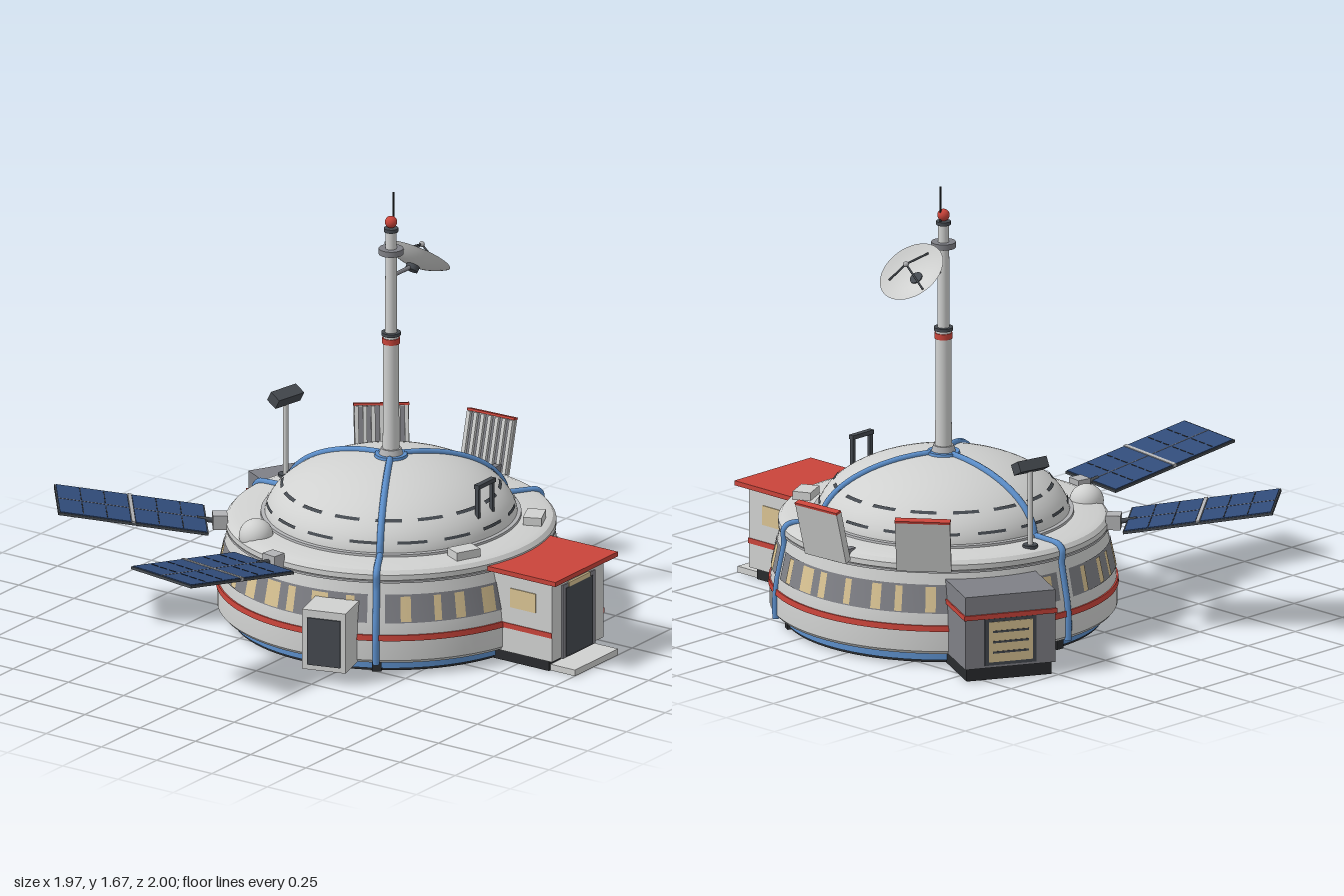
import * as THREE from 'three';
import { toCreasedNormals } from 'three/addons/utils/BufferGeometryUtils.js';

const V = (x, y, z) => new THREE.Vector3(x, y, z);
const rad = THREE.MathUtils.degToRad;

function paint(name, color, side = THREE.FrontSide) {
  const m = new THREE.MeshStandardMaterial({ color, side });
  m.name = name;
  return m;
}
const M = {
  hull: paint('hull light grey', 0xd0d1d0, THREE.DoubleSide),
  metal: paint('metal grey', 0xb2b3b5),
  grey: paint('mid grey', 0x7f8086),
  slate: paint('slate', 0x454a50),
  dark: paint('near black', 0x292b2e),
  red: paint('signal red', 0xc9443a),
  blue: paint('trim blue', 0x5c8fcb),
  solar: paint('solar blue', 0x314c7a),
  tan: paint('window tan', 0xd9c393),
};

function add(parent, name, geo, mat, x = 0, y = 0, z = 0) {
  const m = new THREE.Mesh(geo, mat);
  m.name = name;
  m.position.set(x, y, z);
  parent.add(m);
  return m;
}
const box = (p, name, mat, w, h, d, x, y, z) => add(p, name, new THREE.BoxGeometry(w, h, d), mat, x, y, z);
const cyl = (p, name, mat, r0, r1, y0, y1, x = 0, z = 0, seg = 32) =>
  add(p, name, new THREE.CylinderGeometry(r1, r0, y1 - y0, seg), mat, x, (y0 + y1) / 2, z);

function lathe(p, name, mat, pts, seg = 96, start = 0, len = Math.PI * 2) {
  const g = new THREE.LatheGeometry(pts.map(q => new THREE.Vector2(q[0], q[1])), seg, start, len);
  return add(p, name, toCreasedNormals(g, 0.5), mat);
}
function rod(p, name, mat, a, b, r) {
  const m = add(p, name, new THREE.CylinderGeometry(r, r, a.distanceTo(b), 10), mat);
  m.position.copy(a).lerp(b, 0.5);
  m.quaternion.setFromUnitVectors(V(0, 1, 0), b.clone().sub(a).normalize());
  return m;
}
// group whose local +z points outward from the hub axis
function spoke(p, name, deg) {
  const g = new THREE.Group();
  g.name = name;
  g.rotation.y = rad(deg);
  p.add(g);
  return g;
}
const wallR = y => 0.638 - (y - 0.2) * 0.2167;
const domeR = 0.47, domeH = 0.235, domeY = 0.4;
const domeAt = (a, off = 0) => [(domeR + off) * Math.cos(a), domeY + (domeH + off) * Math.sin(a)];

function buildHull(root) {
  cyl(root, 'base', M.dark, 0.59, 0.59, 0.002, 0.06, 0, 0, 96);
  lathe(root, 'baseBlueBand', M.blue, [[0.585, 0.012], [0.597, 0.012], [0.597, 0.04], [0.585, 0.04]]);
  lathe(root, 'wall', M.hull, [[0.58, 0.048], [0.635, 0.048], [0.645, 0.06], [0.645, 0.13], [0.638, 0.2],
    [0.612, 0.32], [0.603, 0.36], [0.613, 0.365], [0.613, 0.385], [0.6, 0.4], [0.575, 0.408], [0.45, 0.41]]);
  lathe(root, 'rimLine', M.metal, [[0.605, 0.353], [0.612, 0.353], [0.612, 0.361], [0.605, 0.361]]);
  lathe(root, 'redStripe', M.red, [[0.64, 0.138], [0.65, 0.138], [0.648, 0.16], [0.638, 0.16]]);
  // window band with lit panes of varied width
  const strip = (name, mat, y0, y1, a, len, off) => lathe(root, name, mat,
    [[wallR(y0) + off, y0], [wallR(y1) + off, y1]], Math.max(3, Math.round(len * 16)), rad(a), len);
  for (const a of [-57, 63, 183]) strip('windowBand', M.grey, 0.205, 0.31, a, rad(114), 0.003);
  for (let i = 0; i < 36; i++) {
    const width = [3, 5, 2.5, 6, 3.5][(i * 7 + (i >> 2)) % 5];
    if (i % 12 !== 6) strip('window', M.tan, 0.21, 0.303, i * 10 - width / 2 + (i % 3) - 1, rad(width), 0.006);
  }
  // dome with two staggered rows of dark seams
  const arc = [];
  for (let i = 0; i <= 20; i++) arc.push(domeAt(i / 20 * Math.PI / 2 * 0.999));
  lathe(root, 'dome', M.hull, arc);
  lathe(root, 'domeCollar', M.metal, [[0.485, 0.405], [0.483, 0.418], [0.465, 0.42]]);
  [[0.235, 0], [0.545, 11.25]].forEach(([a, shift]) => {
    for (let i = 0; i < 16; i++)
      lathe(root, 'domeSeam', M.slate, [domeAt(a - 0.022, 0.004), domeAt(a + 0.022, 0.004)], 6,
        rad(i * 22.5 + shift - 7), rad(14));
  });
  // three ribs running from the dome top to the base
  for (const deg of [-60, 60, 180]) {
    const g = spoke(root, 'rib', deg);
    const pts = [];
    for (let i = 0; i <= 10; i++) {
      const [r, y] = domeAt(rad(84 - i * 8), 0.003);
      pts.push(V(0, y, r));
    }
    [[0.49, 0.413], [0.59, 0.408], [0.615, 0.385], [0.612, 0.33], [0.638, 0.2], [0.646, 0.13], [0.646, 0.045]]
      .forEach(([r, y]) => pts.push(V(0, y, r)));
    const curve = new THREE.CatmullRomCurve3(pts, false, 'catmullrom', 0.25);
    add(g, 'ribStrip', new THREE.TubeGeometry(curve, 90, 0.013, 8), M.blue);
    box(g, 'ribFoot', M.dark, 0.035, 0.045, 0.03, 0, 0.024, 0.59);
    box(g, 'undersideSeam', M.slate, 0.015, 0.004, 0.59, 0, 0.002, 0.295);
  }
}

function buildMast(root) {
  cyl(root, 'mastCollar', M.blue, 0.065, 0.06, 0.622, 0.643);
  cyl(root, 'mastSocket', M.metal, 0.045, 0.038, 0.643, 0.665);
  cyl(root, 'lowerMast', M.hull, 0.031, 0.029, 0.66, 1.11);
  cyl(root, 'mastRedBand', M.red, 0.033, 0.033, 1.078, 1.1);
  cyl(root, 'mastFlange', M.slate, 0.036, 0.036, 1.11, 1.122);
  cyl(root, 'upperMast', M.hull, 0.022, 0.021, 1.12, 1.53);
  cyl(root, 'upperCollar', M.grey, 0.046, 0.046, 1.43, 1.452);
  cyl(root, 'topCollar', M.slate, 0.027, 0.027, 1.518, 1.532);
  add(root, 'beacon', new THREE.SphereGeometry(0.023, 20, 14), M.red, 0, 1.555, 0);
  cyl(root, 'antenna', M.dark, 0.004, 0.003, 1.53, 1.668, 0.016, 0, 8);
  rod(root, 'dishArm', M.grey, V(0, 1.34, 0), V(0.14, 1.34, 0), 0.008);
  // dish facing up and to the side
  const dish = new THREE.Group();
  dish.name = 'dish';
  dish.position.set(0.143, 1.34, 0);
  dish.rotation.z = -0.69;
  root.add(dish);
  const bowl = [];
  for (let i = 0; i <= 8; i++) bowl.push([0.001 + 0.13 * i / 8, 0.042 * (i / 8) ** 2]);
  lathe(dish, 'dishBowl', M.hull, bowl, 40);
  cyl(dish, 'dishHub', M.slate, 0.025, 0.025, -0.02, 0.006);
  const feed = V(0, 0.088, 0);
  add(dish, 'dishFeed', new THREE.SphereGeometry(0.011, 14, 10), M.metal, 0, 0.088, 0);
  for (let i = 0; i < 3; i++) {
    const a = rad(i * 120 + 180);
    rod(dish, 'dishStrut', M.slate, V(0.1 * Math.cos(a), 0.026, 0.1 * Math.sin(a)), feed, 0.004);
  }
}

function buildEntrance(root) {
  const g = spoke(root, 'entrance', 0);
  box(g, 'entranceBase', M.dark, 0.3, 0.05, 0.36, 0, 0.025, 0.64);
  box(g, 'entranceBody', M.hull, 0.335, 0.315, 0.4, 0, 0.2025, 0.645);
  box(g, 'entranceRoof', M.red, 0.405, 0.018, 0.31, 0, 0.37, 0.73);
  box(g, 'step', M.hull, 0.28, 0.024, 0.13, 0, 0.012, 0.865);
  box(g, 'doorFrame', M.grey, 0.21, 0.29, 0.012, 0, 0.185, 0.845);
  box(g, 'door', M.slate, 0.17, 0.27, 0.008, 0, 0.18, 0.85);
  box(g, 'doorLight', M.tan, 0.135, 0.018, 0.009, 0, 0.325, 0.851);
  for (const s of [-1, 1]) {
    box(g, 'sideStripe', M.red, 0.006, 0.02, 0.4, s * 0.168, 0.149, 0.645);
    box(g, 'sideWindow', M.tan, 0.006, 0.075, 0.115, s * 0.168, 0.262, 0.715);
  }
}

function buildModules(root) {
  // rear equipment module
  const g = spoke(root, 'rearModule', 151.7);
  box(g, 'moduleBase', M.dark, 0.33, 0.05, 0.3, 0, 0.025, 0.665);
  box(g, 'moduleBody', M.grey, 0.35, 0.28, 0.3, 0, 0.19, 0.68);
  box(g, 'moduleStripe', M.red, 0.36, 0.018, 0.3, 0, 0.25, 0.687);
  box(g, 'moduleWindowFrame', M.slate, 0.2, 0.18, 0.006, 0, 0.15, 0.832);
  box(g, 'moduleWindow', M.tan, 0.17, 0.155, 0.006, 0, 0.15, 0.834);
  for (const y of [0.11, 0.15, 0.19]) box(g, 'windowBar', M.slate, 0.14, 0.008, 0.006, 0, y, 0.836);
  // side locker
  const s = spoke(root, 'sideLocker', -73.8);
  box(s, 'lockerBody', M.hull, 0.17, 0.235, 0.24, 0, 0.1675, 0.652);
  box(s, 'lockerHatch', M.slate, 0.13, 0.185, 0.008, 0, 0.1625, 0.773);
}

function buildSolarWing(root, deg) {
  const g = spoke(root, 'solarWing', deg);
  box(g, 'wingMount', M.metal, 0.06, 0.055, 0.055, 0, 0.39, 0.635);
  rod(g, 'wingArm', M.slate, V(0, 0.385, 0.63), V(0, 0.4, 0.72), 0.01);
  const wing = new THREE.Group();
  wing.name = 'wingPanel';
  wing.position.set(0, 0.437, 0.964);
  wing.rotation.x = -0.165;
  g.add(wing);
  box(wing, 'wingBack', M.slate, 0.305, 0.01, 0.565, 0, 0, 0);
  for (const x of [-1, 1]) for (const z of [-1, 1]) {
    box(wing, 'solarCells', M.solar, 0.147, 0.005, 0.268, x * 0.075, 0.0055, z * 0.143);
    for (const k of [-1, 1])
      for (const j of [-1, 0, 1])
        box(wing, 'cellLine', M.dark, 0.032, 0.003, 0.004, x * 0.075 + j * 0.045, 0.008, z * 0.143 + k * 0.045);
  }
  box(wing, 'wingDivider', M.metal, 0.305, 0.014, 0.014, 0, 0.003, 0);
  box(wing, 'wingSpine', M.grey, 0.004, 0.004, 0.56, 0, 0.007, 0);
}

function buildRadiator(root, deg) {
  const g = spoke(root, 'radiator', deg);
  for (const x of [-0.06, 0.06]) box(g, 'radiatorBracket', M.grey, 0.025, 0.035, 0.08, x, 0.395, 0.61);
  const p = new THREE.Group();
  p.position.set(0, 0.375, 0.645);
  p.rotation.x = 0.26;
  g.add(p);
  box(p, 'radiatorPlate', M.hull, 0.205, 0.21, 0.012, 0, 0.105, 0.006);
  box(p, 'radiatorBack', M.grey, 0.195, 0.2, 0.004, 0, 0.105, -0.002);
  for (let i = 0; i < 7; i++) box(p, 'radiatorFin', M.hull, 0.015, 0.205, 0.018, (i - 3) * 0.031, 0.105, -0.008);
  box(p, 'radiatorCap', M.red, 0.207, 0.009, 0.026, 0, 0.213, 0);
}

function buildRoofGear(root) {
  for (const deg of [-25, 25])
    box(spoke(root, 'roofVent', deg), 'ventBox', M.hull, 0.1, 0.035, 0.07, 0, 0.422, 0.54);
  add(spoke(root, 'sensorBlister', -120.3), 'blister', new THREE.SphereGeometry(0.064, 32, 20), M.hull, 0, 0.402, 0.55);
  // camera on a post
  cyl(root, 'cameraFoot', M.slate, 0.028, 0.028, 0.405, 0.418, 0.1, -0.547);
  cyl(root, 'cameraPost', M.hull, 0.01, 0.01, 0.41, 0.71, 0.1, -0.547, 12);
  const head = box(root, 'cameraHead', M.slate, 0.13, 0.042, 0.05, 0.1, 0.722, -0.547);
  head.rotation.set(0.5, -0.18, 0, 'YXZ');
  // handrail on the dome
  for (const x of [-0.046, 0.046]) box(root, 'railPost', M.slate, 0.014, 0.135, 0.014, x, 0.548, 0.425);
  box(root, 'railBar', M.slate, 0.11, 0.016, 0.022, 0, 0.613, 0.425);
}

export function createModel() {
  const model = new THREE.Group();
  model.name = 'outpost';
  const root = new THREE.Group();
  root.name = 'station';
  root.position.set(0.27, 0, 0.07);
  model.add(root);
  buildHull(root);
  buildMast(root);
  buildEntrance(root);
  buildModules(root);
  for (const deg of [-98.3, -141.9]) buildSolarWing(root, deg);
  for (const deg of [92.6, 128]) buildRadiator(root, deg);
  buildRoofGear(root);
  return model;
}
